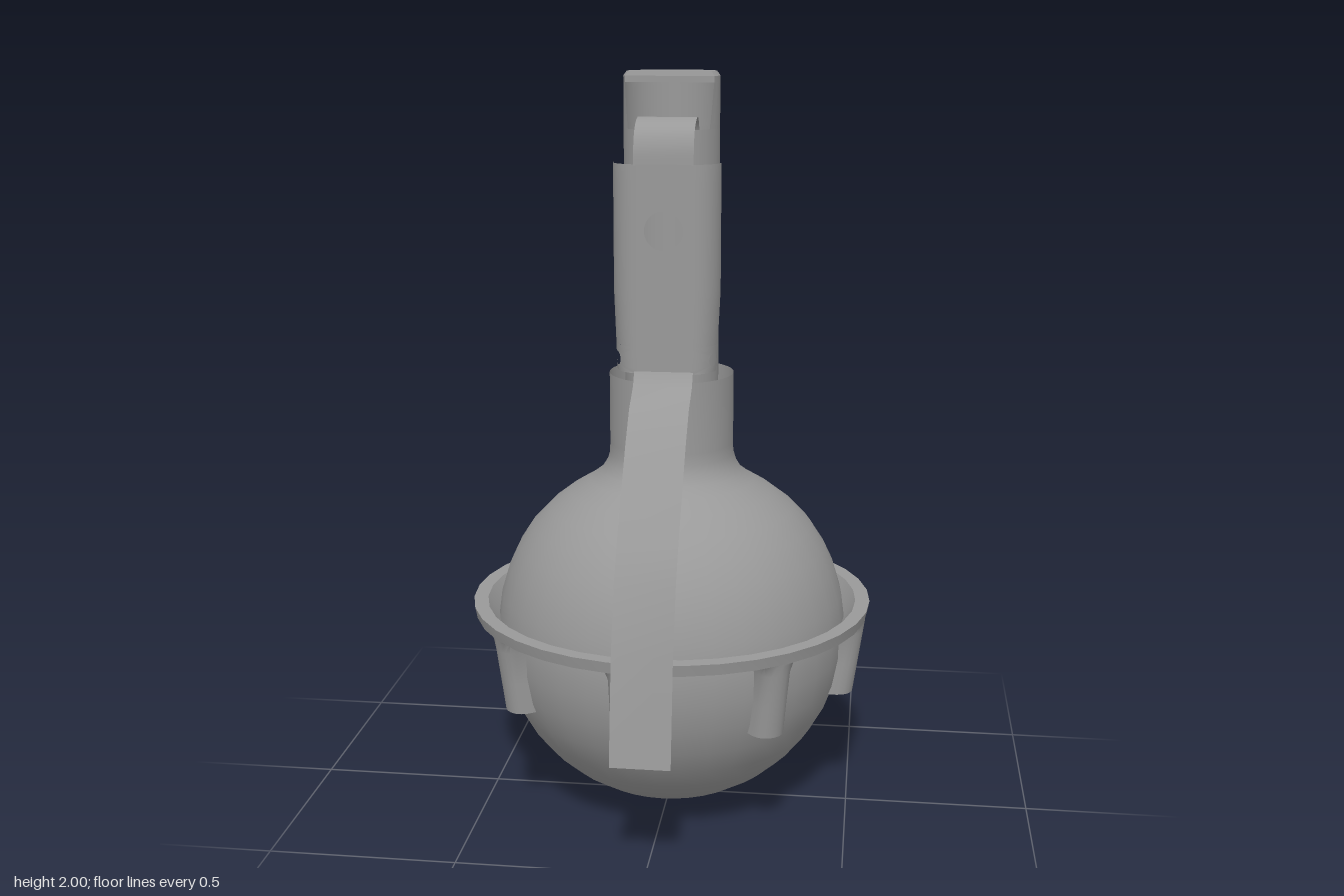
import * as THREE from 'three';
import { toCreasedNormals } from 'three/addons/utils/BufferGeometryUtils.js';

const AXIS_Z = -0.047; // the body axis sits slightly behind the origin
const GREY = 0x999999;
const solid = new THREE.MeshStandardMaterial({ color: GREY });
const sheet = new THREE.MeshStandardMaterial({ color: GREY, side: THREE.DoubleSide });

function add(parent, name, geometry, material = solid) {
  const mesh = new THREE.Mesh(geometry, material);
  mesh.name = name;
  parent.add(mesh);
  return mesh;
}

const vectors = (list) => list.map(([x, y]) => new THREE.Vector2(x, y));

function lathe(list, crease) {
  return toCreasedNormals(new THREE.LatheGeometry(vectors(list), 36), crease);
}

// Moves every vertex by a rule
function reshape(geometry, rule) {
  const pos = geometry.attributes.position;
  const v = new THREE.Vector3();
  for (let i = 0; i < pos.count; i++) {
    v.fromBufferAttribute(pos, i);
    rule(v);
    pos.setXYZ(i, v.x, v.y, v.z);
  }
  geometry.computeVertexNormals();
  return geometry;
}

// Thin strip following a list of (z, y) points
function ribbon(points, width) {
  const steps = points.length - 1;
  return reshape(new THREE.PlaneGeometry(width, 1, 1, steps), (v) => {
    const p = points[Math.round((0.5 - v.y) * steps)];
    v.set(v.x, p.y, p.x);
  });
}

// Slab with a D-shaped plan, flat at the front, its top scaled for a bevel
function capSlab(y0, y1, topScale) {
  const shape = new THREE.Shape();
  const a = Math.asin(0.05 / 0.126);
  shape.absarc(0, 0, 0.126, -a, Math.PI + a, false);
  shape.closePath();
  const g = new THREE.ExtrudeGeometry(shape, { depth: y1 - y0, bevelEnabled: false, curveSegments: 32 });
  g.rotateX(-Math.PI / 2).translate(0, y0, 0);
  reshape(g, (v) => {
    const s = v.y > (y0 + y1) / 2 ? topScale : 1;
    v.x *= s;
    v.z *= s;
  });
  return toCreasedNormals(g, 0.5);
}

// Lug: rounded outer face narrowing downwards, closed by a bottom face
function lugGeometry() {
  const rows = [[0.075, 0.545], [0.056, 0.538], [0.046, 0.51], [0.046, 0.42], [0.047, 0.333], [0.047, 0.333]];
  const last = rows.length - 1;
  const g = reshape(new THREE.PlaneGeometry(1, 1, 10, last), (v) => {
    const row = Math.round((0.5 - v.y) * last);
    const [half, y] = rows[row];
    const t = (y - 0.333) / 0.21;
    const base = 0.43 + 0.04 * t;
    const depth = 0.513 + 0.03 * t - base;
    const a = v.x * Math.PI;
    const bulge = row === last ? 0 : Math.sqrt(Math.max(0, Math.cos(a)));
    v.set(half * Math.sin(a), y, base + depth * bulge);
  });
  return toCreasedNormals(g, 0.7);
}

function buildBody(root) {
  const body = new THREE.Group();
  body.name = 'body';
  body.position.z = AXIS_Z;
  root.add(body);

  // Round shell running through the shoulder into an open neck
  const profile = [];
  for (let i = 0; i <= 12; i++) {
    const a = (i / 12) * 1.95;
    profile.push([0.483 * Math.sin(a), 0.488 - 0.488 * Math.cos(a)]);
  }
  profile.push([0.422, 0.725], [0.383, 0.785], [0.335, 0.835], [0.28, 0.877], [0.225, 0.91],
    [0.193, 0.934], [0.177, 0.96], [0.169, 0.985], [0.168, 1.015], [0.168, 1.207]);
  add(body, 'bulb', lathe(profile, 0.6), sheet);

  // Rim around the middle
  add(body, 'rim', lathe([[0.475, 0.543], [0.544, 0.543], [0.55, 0.574], [0.511, 0.574], [0.472, 0.515]], 0.4));

  // Eight lugs under the rim
  const lug = lugGeometry();
  for (let i = 0; i < 8; i++) {
    add(body, 'lug', lug).rotation.y = ((i * 45 - 6.5) * Math.PI) / 180;
  }

  // Thin upright tube, with a hood open at the front and a bevelled cap
  const tube = new THREE.CylinderGeometry(0.126, 0.126, 0.855, 36, 1, true);
  add(body, 'tube', tube.translate(0, 1.4275, 0), sheet);
  const hood = reshape(new THREE.PlaneGeometry(1, 1, 30, 6), (v) => {
    const t = v.y + 0.5;
    const gap = Math.acos((0.068 - 0.018 * t) / 0.126);
    const a = Math.PI + 2 * v.x * (Math.PI - gap);
    v.set(0.126 * Math.sin(a), 1.855 + 0.12 * t, 0.126 * Math.cos(a));
  });
  add(body, 'tubeHood', hood, sheet);
  add(body, 'tubeCap', capSlab(1.972, 1.988, 1));
  add(body, 'tubeCapTop', capSlab(1.988, 2, 0.93));
}

function buildLever(root) {
  const lever = new THREE.Group();
  lever.name = 'lever';
  root.add(lever);

  const bottom = 1.235, split = 1.305, knee = 1.445, top = 1.773;
  const lowness = (y) => Math.max(0, (knee - y) / (knee - bottom));

  // Flat front of the cover with a round hole
  const face = new THREE.Shape(vectors([[-0.07, bottom], [0.07, bottom], [0.07, top], [-0.07, top]]));
  const opening = new THREE.Path();
  opening.absarc(0, 1.605, 0.05, 0, Math.PI * 2, true);
  face.holes.push(opening);
  add(lever, 'leverPlate', new THREE.ShapeGeometry(face, 24).translate(0, 0, 0.128), sheet);

  // Curved sides: x runs around the bend from 0 to 1, y is height
  const bend = (v) => {
    const low = lowness(v.y);
    const a = v.x * (Math.PI / 2 - 0.2 * low);
    v.set(0.07 + (0.07 - 0.008 * low) * Math.sin(a), v.y, 0.048 + 0.08 * Math.cos(a));
  };
  const upper = new THREE.PlaneGeometry(1, top - split, 10, 10).translate(0.5, (top + split) / 2, 0);
  reshape(upper, bend);

  // Lower part of each side, a rectangle pierced by a pin hole
  const inner = 0.2;
  const lower = reshape(new THREE.RingGeometry(inner, 1, 40, 5), (v) => {
    const r = Math.hypot(v.x, v.y);
    const s = (r - inner) / (1 - inner);
    const dx = v.x / r, dy = v.y / r;
    const m = Math.max(Math.abs(dx), Math.abs(dy));
    const edgeX = 0.5 + (0.5 * dx) / m;
    const edgeY = (bottom + split) / 2 + (((split - bottom) / 2) * dy) / m;
    v.set(THREE.MathUtils.lerp(0.77 + 0.18 * dx, edgeX, s),
      THREE.MathUtils.lerp(1.268 + 0.018 * dy, edgeY, s), 0);
    bend(v);
  });
  for (const side of [1, -1]) {
    add(lever, 'leverSide', upper, sheet).scale.x = side;
    add(lever, 'leverSideLower', lower, sheet).scale.x = side;
  }

  // Hook curling over into the tube
  const hook = new THREE.SplineCurve(vectors([[-0.01, 1.81], [-0.005, 1.85], [0.025, 1.885],
    [0.07, 1.88], [0.106, 1.855], [0.124, 1.815], [0.128, 1.77]]));
  add(lever, 'leverHook', ribbon(hook.getPoints(20), 0.154), sheet);

  // Long handle strip bending out over the body
  add(lever, 'leverHandle', ribbon(vectors([[0.128, 1.24], [0.15, 1.205], [0.22, 1.16], [0.285, 1.085],
    [0.35, 0.995], [0.44, 0.865], [0.49, 0.775], [0.545, 0.61], [0.59, 0.335]]), 0.154), sheet);
}

export function createModel() {
  const root = new THREE.Group();
  root.name = 'model';
  buildBody(root);
  buildLever(root);
  return root;
}
